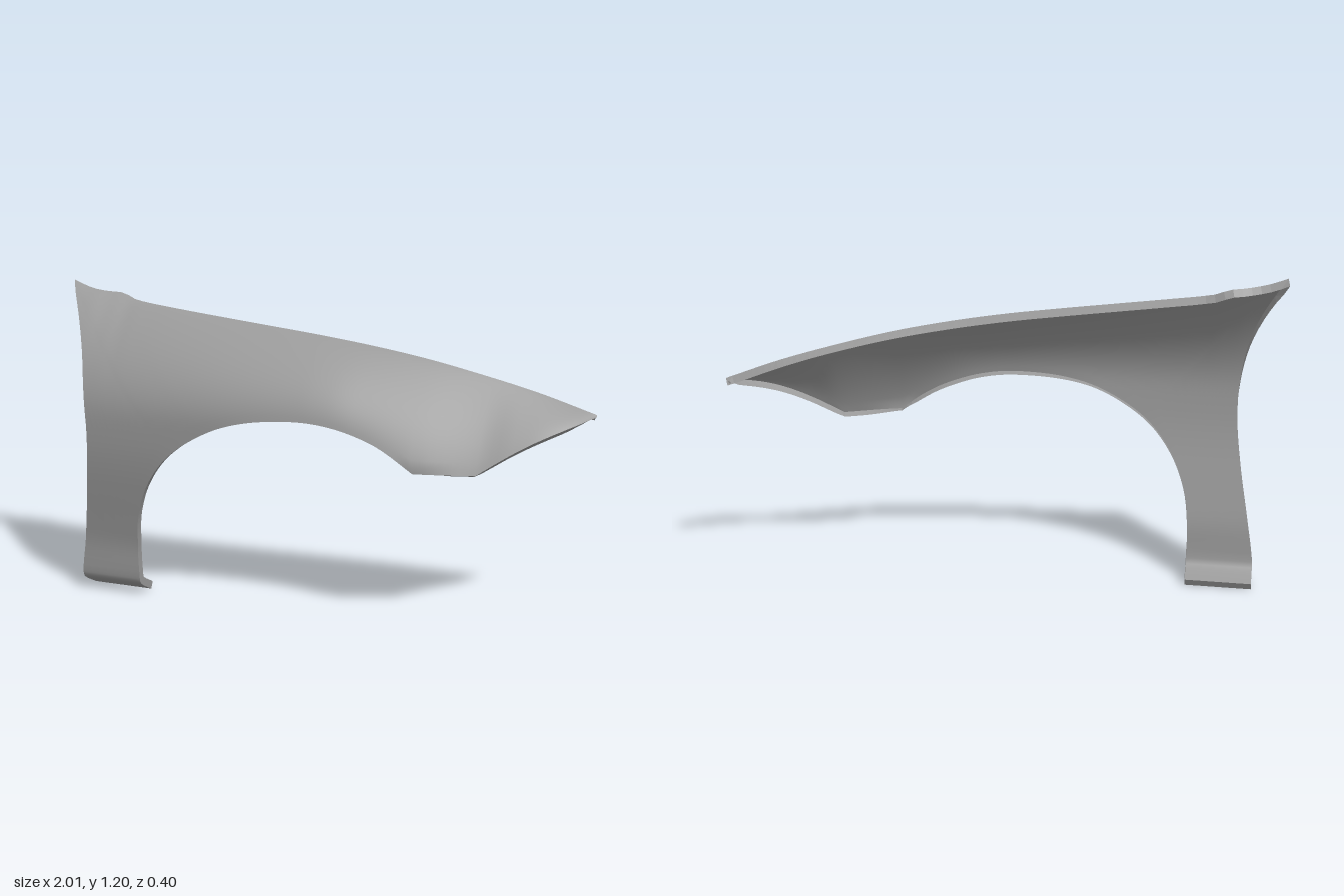
import * as THREE from 'three';

const { lerp, clamp, smoothstep } = THREE.MathUtils;

// Smooth interpolation through [key, value] pairs (Hermite with averaged slopes)
function smoothTable(pts) {
  const slope = (i) => {
    const a = pts[Math.max(i - 1, 0)], b = pts[Math.min(i + 1, pts.length - 1)];
    return (b[1] - a[1]) / (b[0] - a[0]);
  };
  return (x) => {
    let i = 0;
    while (i < pts.length - 2 && x > pts[i + 1][0]) i++;
    const [x0, y0] = pts[i], [x1, y1] = pts[i + 1], h = x1 - x0;
    const t = clamp((x - x0) / h, 0, 1), t2 = t * t, t3 = t2 * t;
    return (2 * t3 - 3 * t2 + 1) * y0 + (t3 - 2 * t2 + t) * h * slope(i)
      + (3 * t2 - 2 * t3) * y1 + (t3 - t2) * h * slope(i + 1);
  };
}

// Outline: top edge y(x), rear edge x(y), wheel arch
const topY = smoothTable([[-1, 1.195], [-0.93, 1.17], [-0.86, 1.157], [-0.8, 1.152], [-0.75, 1.132], [-0.6, 1.11],
  [-0.2, 1.062], [0, 1.037], [0.2, 1.006], [0.4, 0.967], [0.6, 0.917], [0.8, 0.86], [1, 0.79]]);
const rearX = smoothTable([[0, -0.927], [0.08, -0.927], [0.25, -0.9], [0.42, -0.87], [0.6, -0.848],
  [0.75, -0.85], [0.92, -0.878], [1.05, -0.925], [1.195, -1]]);
const arch = new THREE.SplineCurve([[-0.68, 0.1], [-0.68, 0.2], [-0.66, 0.34], [-0.6, 0.48], [-0.5, 0.6], [-0.35, 0.695],
  [-0.2, 0.743], [-0.02, 0.76], [0.12, 0.747], [0.25, 0.707], [0.34, 0.66], [0.42, 0.602]].map((p) => new THREE.Vector2(...p)));

// Depth: top edge, widest line and its height along x, and the tuck of the leg over y
const topZ = smoothTable([[-1, -0.04], [-0.9, -0.038], [-0.8, -0.058], [-0.72, -0.045], [-0.4, -0.045],
  [0, -0.062], [0.4, -0.103], [0.8, -0.157], [1, -0.187]]);
const wideZ = smoothTable([[-1, 0.19], [-0.4, 0.197], [0, 0.181], [0.2, 0.167], [0.42, 0.147], [0.63, 0.078],
  [0.74, 0.028], [0.85, -0.028], [0.93, -0.09], [1, -0.185]]);
const wideY = smoothTable([[-1, 0.72], [0.1, 0.72], [0.42, 0.63], [0.63, 0.6], [0.74, 0.665],
  [0.85, 0.72], [0.93, 0.752], [1, 0.782]]);
const tuck = smoothTable([[0, 0.178], [0.045, 0.098], [0.075, 0.083], [0.2, 0.076], [0.3, 0.058], [0.4, 0.038],
  [0.5, 0.019], [0.6, 0.006], [0.72, 0]]);

function depth(x, y) {
  const p = clamp((topY(x) - y) / (topY(x) - wideY(x)), 0, 1);
  const front = smoothstep(x, 0, 0.6);
  const arc = lerp(Math.PI / 2, 1.05, front);
  const bulge = Math.pow(Math.sin(p * arc) / Math.sin(arc), lerp(0.84, 0.92, front));
  const z = lerp(topZ(x), wideZ(x), bulge);
  return x < 0.2 && y < 0.72 ? z - tuck(y) : z;
}

// Paired stations [outer, inner] from the foot, up the leg and forward to the tip
function stations() {
  const rear = (y) => [rearX(y), y], top = (x) => [x, topY(x)];
  const onArch = (t) => arch.getPointAt(t).toArray();
  const sections = [
    [10, (t) => rear(lerp(0, 0.1, t)), (t) => [-0.68, lerp(0, 0.1, t)]],
    [28, (t) => rear(lerp(0.1, 1.195, t)), (t) => onArch(lerp(0, 0.36, t))],
    [44, (t) => top(lerp(-1, 0.38, t)), (t) => onArch(lerp(0.36, 1, t))],
    [8, (t) => top(lerp(0.38, 0.63, t)), (t) => [lerp(0.42, 0.63, t), lerp(0.602, 0.597, t)]],
    [16, (t) => top(lerp(0.63, 1, t)),
      (t) => [lerp(0.63, 1, t), lerp(0.597, 0.782, t) + 0.02 * Math.sin(Math.PI * t)]],
  ];
  const list = [];
  sections.forEach(([n, outer, inner], k) => {
    for (let i = k ? 1 : 0; i <= n; i++) list.push([outer(i / n), inner(i / n)]);
  });
  return list;
}

function makeGeometry(positions, index) {
  const g = new THREE.BufferGeometry();
  g.setAttribute('position', new THREE.Float32BufferAttribute(positions, 3));
  if (index) g.setIndex(index);
  g.computeVertexNormals();
  return g;
}

export function createModel() {
  const group = new THREE.Group();
  group.name = 'fender';
  const material = new THREE.MeshStandardMaterial({ color: 0x999999, side: THREE.DoubleSide });
  const add = (name, geometry) => {
    const mesh = new THREE.Mesh(geometry, material);
    mesh.name = name;
    group.add(mesh);
  };

  // Thin curved panel
  const list = stations(), rows = list.length, cols = 20;
  const at = (i, j) => i * (cols + 1) + j;
  const skin = [], faces = [];
  list.forEach(([o, n], i) => {
    for (let j = 0; j <= cols; j++) {
      const s = Math.pow(j / cols, 1.3);
      const x = lerp(o[0], n[0], s), y = lerp(o[1], n[1], s);
      skin.push(x, y, depth(x, y));
      if (i < rows - 1 && j < cols) {
        const a = at(i, j), b = at(i + 1, j), c = at(i, j + 1), d = at(i + 1, j + 1);
        faces.push(a, c, b, b, c, d);
      }
    }
  });
  const panel = makeGeometry(skin, faces);
  add('panel', panel);

  // Flange folded back all the way round the panel's edge
  const loop = [];
  for (let i = 0; i < rows - 1; i++) loop.push(at(i, 0));
  for (let j = 0; j < cols; j++) loop.push(at(rows - 1, j));
  for (let i = rows - 1; i > 0; i--) loop.push(at(i, cols));
  for (let j = cols; j > 0; j--) loop.push(at(0, j));
  const normals = panel.attributes.normal.array, flangeDepth = 0.03;
  const edge = (k) => skin.slice(k * 3, k * 3 + 3);
  const folded = (k) => edge(k).map((v, c) => v - normals[k * 3 + c] * flangeDepth);
  const flange = [];
  loop.forEach((k, i) => {
    const m = loop[(i + 1) % loop.length];
    flange.push(...edge(k), ...edge(m), ...folded(m), ...edge(k), ...folded(m), ...folded(k));
  });
  add('edgeFlange', makeGeometry(flange));
  return group;
}
